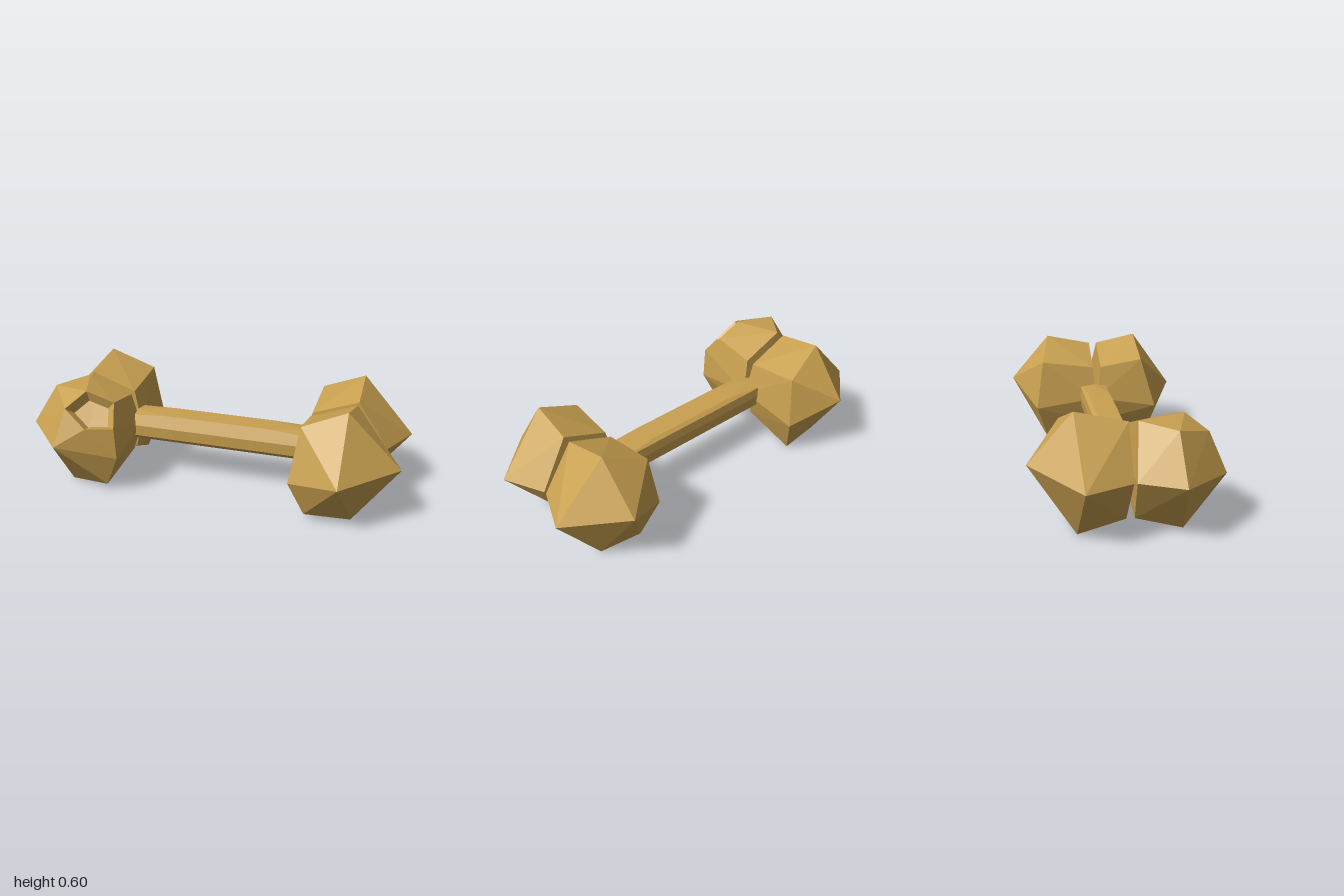
import * as THREE from 'three';
import { ConvexGeometry } from 'three/addons/geometries/ConvexGeometry.js';

const material = new THREE.MeshStandardMaterial({ color: 0xc8a050, flatShading: true });
const toVectors = (points, sx = 1) => points.map(([x, y, z]) => new THREE.Vector3(x * sx, y, z));

// Faceted knob corners, for the left (+x) side
const frontKnob = [
  [0.73, 0.275, 0.48], [0.73, 0.59, 0.26], [1, 0.3, 0.215], [0.77, 0.005, 0.25],
  [0.54, 0.03, 0.31], [0.46, 0.21, 0.35], [0.5, 0.49, 0.27],
  [0.74, 0.54, 0.035], [0.9, 0.3, 0.005], [0.75, 0.06, 0.02],
  [0.5, 0.12, 0.02], [0.46, 0.27, 0.005], [0.5, 0.45, 0.03],
];
const backKnob = [
  [0.72, 0.345, -0.48], [0.73, 0.595, -0.262], [1, 0.3, -0.24], [0.77, 0.005, -0.255],
  [0.54, 0.0, -0.28], [0.465, 0.22, -0.35], [0.5, 0.49, -0.31],
  [0.74, 0.54, -0.01], [0.9, 0.3, -0.01], [0.75, 0.06, -0.02],
  [0.5, 0.12, -0.02], [0.46, 0.27, -0.005], [0.5, 0.45, -0.015],
];
// Right front knob, with a five-sided rim around a chipped dent
const chippedKnob = [
  [-0.775, 0.275, 0.45], [-0.86, 0.525, 0.2], [-1, 0.3, 0.215], [-0.77, 0.005, 0.25],
  [-0.54, 0.03, 0.31], [-0.46, 0.21, 0.35],
  [-0.74, 0.54, 0.035], [-0.9, 0.3, 0.005], [-0.75, 0.06, 0.02],
  [-0.5, 0.12, 0.02], [-0.46, 0.27, 0.005], [-0.5, 0.45, 0.03],
];
const dentRim = [
  [-0.73, 0.47, 0.37], [-0.61, 0.38, 0.4], [-0.47, 0.38, 0.35],
  [-0.5, 0.49, 0.26], [-0.65, 0.54, 0.27],
];

// Hull of the knob with the rim's face cut out and a sunken floor put in
function dentedGeometry(body, rimPoints) {
  const rim = toVectors(rimPoints);
  const hull = new ConvexGeometry([...toVectors(body), ...rim]).getAttribute('position');
  const out = [];
  const onRim = (p) => rim.some((r) => r.distanceTo(p) < 1e-5);
  for (let i = 0; i < hull.count; i += 3) {
    const tri = [0, 1, 2].map((k) => new THREE.Vector3().fromBufferAttribute(hull, i + k));
    if (!tri.every(onRim)) out.push(...tri);
  }
  const centre = rim.reduce((s, p) => s.add(p), new THREE.Vector3()).divideScalar(rim.length);
  const inward = new THREE.Vector3(-0.25, -0.65, -0.7).normalize().multiplyScalar(0.05);
  const floor = rim.map((p) => p.clone().lerp(centre, 0.3).add(inward));
  const middle = centre.clone().add(inward);
  rim.forEach((a, i) => {
    const j = (i + 1) % rim.length;
    out.push(a, rim[j], floor[j], a, floor[j], floor[i], floor[i], floor[j], middle);
  });
  const geometry = new THREE.BufferGeometry().setFromPoints(out);
  geometry.computeVertexNormals();
  return geometry;
}

// Shaft: many-sided bar whose top facet narrows towards both ends
function shaftGeometry() {
  const points = [];
  const sides = [[0.34, 0.058], [0.29, 0.08], [0.23, 0.077], [0.204, 0.05],
    [0.204, -0.06], [0.23, -0.09], [0.29, -0.095], [0.34, -0.09]];
  for (const s of [-1, 1]) {
    sides.forEach(([y, z]) => points.push([s * 0.52, y, z]));
    points.push([s * 0.28, 0.355, -0.07], [s * 0.28, 0.355, 0.052], [s * 0.48, 0.352, -0.005]);
  }
  return new ConvexGeometry(toVectors(points));
}

export function createModel() {
  const group = new THREE.Group();
  group.name = 'bone';
  const add = (name, geometry) => {
    const mesh = new THREE.Mesh(geometry, material);
    mesh.name = name;
    group.add(mesh);
  };
  add('shaft', shaftGeometry());
  add('leftFrontKnob', new ConvexGeometry(toVectors(frontKnob)));
  add('rightFrontKnob', dentedGeometry(chippedKnob, dentRim));
  add('leftBackKnob', new ConvexGeometry(toVectors(backKnob)));
  add('rightBackKnob', new ConvexGeometry(toVectors(backKnob, -1)));
  return group;
}
